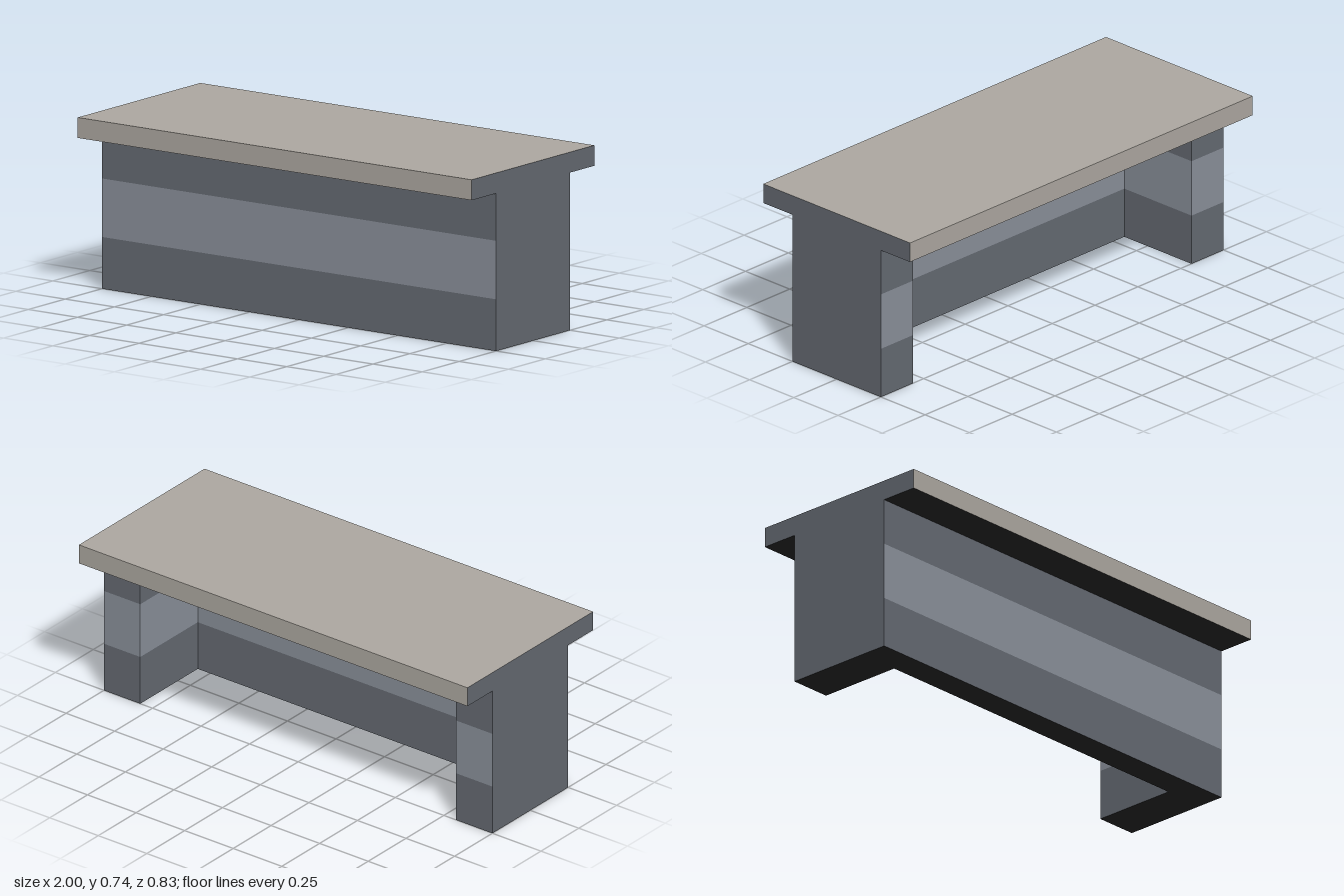
import * as THREE from 'three';

const material = (name, color) => {
  const m = new THREE.MeshStandardMaterial({ color });
  m.name = name;
  return m;
};

export function createModel() {
  const slate = material('slate', 0x656a72);
  const band = material('lightBand', 0x8a909a);
  const stone = material('stoneTop', 0xada8a1);
  const dark = material('darkUnderside', 0x282828);

  const group = new THREE.Group();
  group.name = 'counter';

  // Box from its limits; materials follow +x, -x, +y, -y, +z, -z
  const addBox = (name, [x0, x1], [y0, y1], [z0, z1], materials) => {
    const mesh = new THREE.Mesh(new THREE.BoxGeometry(x1 - x0, y1 - y0, z1 - z0), materials);
    mesh.position.set((x0 + x1) / 2, (y0 + y1) / 2, (z0 + z1) / 2);
    mesh.name = name;
    group.add(mesh);
  };

  const halfDepth = 0.25, innerX = 0.813, panelBack = 0.13;
  const recessTop = 0.585, bodyTop = 0.655;

  // Body tiers: front panel and two end walls around a recess open at the back
  const tiers = [
    ['lower', 0, 0.215, slate],
    ['middle', 0.215, 0.458, band],
    ['upper', 0.458, recessTop, slate],
  ];
  for (const [name, y0, y1, color] of tiers) {
    const y = [y0, y1];
    addBox(name + 'FrontPanel', [-innerX, innerX], y, [panelBack, halfDepth],
      [color, color, color, dark, color, color]);
    addBox(name + 'LeftWall', [innerX, 1], y, [-halfDepth, halfDepth],
      [slate, color, color, dark, color, color]);
    addBox(name + 'RightWall', [-1, -innerX], y, [-halfDepth, halfDepth],
      [color, slate, color, dark, color, color]);
  }

  // Solid header closing the recess from above
  addBox('header', [-1, 1], [recessTop, bodyTop], [-halfDepth, halfDepth],
    [slate, slate, slate, dark, slate, slate]);

  // Overhanging worktop with slate ends
  addBox('worktop', [-1, 1], [bodyTop, 0.74], [-0.415, 0.415],
    [slate, slate, stone, dark, stone, stone]);

  return group;
}
